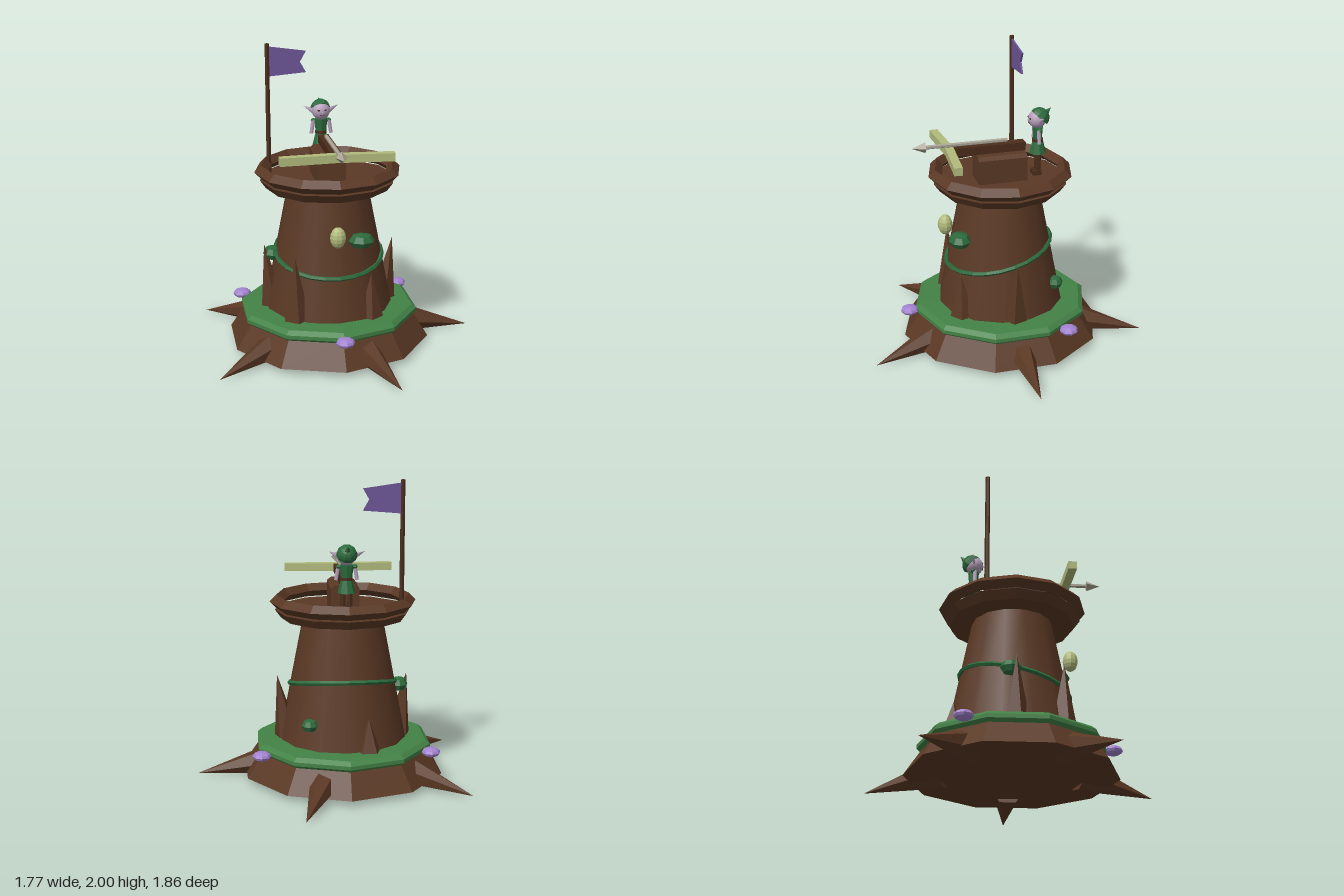
import * as THREE from 'three';

const paint = (name, color, flat = false) => {
  const m = new THREE.MeshStandardMaterial({ color });
  m.name = name;
  m.flatShading = flat;
  return m;
};

export function createModel() {
  const bark = paint('bark', 0x5a3824, true);
  const wood = paint('dark wood', 0x4a2d1b, true);
  const moss = paint('moss green', 0x438246, true);
  const leaf = paint('leaf green', 0x2c6a3c, true);
  const horn = paint('pale horn', 0xb2bb7d, true);
  const steel = paint('dull steel', 0xa9a394, true);
  const skin = paint('lilac skin', 0xb8a2bd);
  const cloth = paint('purple cloth', 0x6d5597);
  const cap = paint('violet cap', 0xa283cf, true);
  cloth.side = THREE.DoubleSide;

  const model = new THREE.Group();
  const tower = new THREE.Group();
  tower.name = 'tower';
  tower.position.x = -0.1;
  model.add(tower);

  const add = (parent, name, geo, mat, x = 0, y = 0, z = 0) => {
    const mesh = new THREE.Mesh(geo, mat);
    mesh.name = name;
    mesh.position.set(x, y, z);
    parent.add(mesh);
    return mesh;
  };
  const V = (x, y, z) => new THREE.Vector3(x, y, z);
  const up = V(0, 1, 0);
  // Cone running from a base point to a tip
  const spike = (parent, name, from, to, r, sides, mat) => {
    const dir = to.clone().sub(from);
    const mesh = add(parent, name, new THREE.ConeGeometry(r, dir.length(), sides), mat);
    mesh.position.copy(from).addScaledVector(dir, 0.5);
    mesh.quaternion.setFromUnitVectors(up, dir.normalize());
    return mesh;
  };
  const blob = (parent, name, mat, pos, scale, w = 8, h = 6) => {
    const mesh = add(parent, name, new THREE.SphereGeometry(1, w, h), mat, ...pos);
    mesh.scale.set(...scale);
    return mesh;
  };
  const polar = (deg, r, y) => {
    const a = THREE.MathUtils.degToRad(deg);
    return V(r * Math.cos(a), y, r * Math.sin(a));
  };

  // Base, moss ring and trunk
  add(tower, 'base', new THREE.CylinderGeometry(0.56, 0.68, 0.18, 10), bark, 0, 0.13, 0);
  const ring = [[0.38, 0.19], [0.57, 0.19], [0.6, 0.215], [0.6, 0.24], [0.57, 0.265], [0.38, 0.27]];
  add(tower, 'mossRing', new THREE.LatheGeometry(ring.map(p => new THREE.Vector2(...p)), 10), moss);
  const trunkBark = bark.clone();
  trunkBark.flatShading = false;
  add(tower, 'trunk', new THREE.CylinderGeometry(0.265, 0.435, 0.87, 14), trunkBark, 0, 0.655, 0);

  // Ground roots
  for (let i = 0; i < 5; i++)
    spike(tower, 'root', polar(72 * i, 0.46, 0.107), polar(72 * i, 0.98, 0.012), 0.107, 6, bark);

  // Upright roots against the trunk: angle, base radius, tip radius, tip height, width
  const uprights = [
    [0, 0.37, 0.44, 0.69, 0.095], [55, 0.39, 0.4, 0.56, 0.1], [131, 0.39, 0.41, 0.7, 0.1],
    [180, 0.37, 0.43, 0.69, 0.095], [250, 0.4, 0.4, 0.48, 0.1],
  ];
  for (const [a, r0, r1, h, w] of uprights)
    spike(tower, 'uprightRoot', polar(a, r0, 0.22), polar(a, r1, h), w, 5, bark);

  // Slanting vine around the trunk
  const vinePath = [];
  for (let i = 0; i < 12; i++) {
    const a = i * 30, y = 0.635 - 0.08 * Math.sin(a * Math.PI / 180);
    vinePath.push(polar(a, 0.435 - (y - 0.22) * 0.195 + 0.002, y));
  }
  add(tower, 'vine', new THREE.TubeGeometry(new THREE.CatmullRomCurve3(vinePath, true), 24, 0.016, 5, true), leaf);

  // Leaf shelves, round lamp and mushrooms
  blob(tower, 'leafShelf', leaf, [0.165, 0.79, 0.32], [0.087, 0.052, 0.075], 8, 4);
  blob(tower, 'leafShelf', leaf, [-0.375, 0.62, -0.03], [0.06, 0.05, 0.07], 8, 4);
  blob(tower, 'leafShelf', leaf, [0.24, 0.43, -0.32], [0.055, 0.045, 0.055], 8, 4);
  blob(tower, 'lamp', horn, [0, 0.84, 0.38], [0.052, 0.07, 0.05], 10, 8);
  for (const a of [90, 210, 330]) {
    const p = polar(a, 0.64, 0.23);
    blob(tower, 'mushroom', cap, [p.x, p.y, p.z], [0.062, 0.032, 0.062], 8, 6);
  }

  // Platform and railing
  add(tower, 'deck', new THREE.CylinderGeometry(0.45, 0.41, 0.055, 12), bark, 0, 1.108, 0);
  add(tower, 'railing', new THREE.TorusGeometry(0.44, 0.045, 4, 12), bark, 0, 1.19, 0).rotation.x = Math.PI / 2;

  // Bolt thrower
  const weapon = new THREE.Group();
  weapon.name = 'boltThrower';
  tower.add(weapon);
  const block = new THREE.Shape();
  [[-0.093, 0], [0.093, 0], [0.093, 0.165], [0.065, 0.187], [-0.065, 0.187], [-0.093, 0.165]]
    .forEach(([x, y], i) => (i ? block.lineTo(x, y) : block.moveTo(x, y)));
  add(weapon, 'mount', new THREE.ExtrudeGeometry(block, { depth: 0.33, bevelEnabled: false }), bark, 0, 1.133, -0.165);
  add(weapon, 'stock', new THREE.BoxGeometry(0.07, 0.055, 0.49), wood, 0, 1.355, 0.077);
  for (const s of [-1, 1])
    add(weapon, 'bowArm', new THREE.BoxGeometry(0.37, 0.053, 0.055), horn, s * 0.182, 1.357, 0.354).rotation.y = -s * 0.07;
  const shaft = add(weapon, 'boltShaft', new THREE.CylinderGeometry(0.014, 0.014, 0.56, 6), steel, 0, 1.4, 0.23);
  shaft.rotation.x = Math.PI / 2;
  spike(weapon, 'boltHead', V(0, 1.4, 0.5), V(0, 1.4, 0.59), 0.038, 4, steel);

  // Pole and flag
  add(tower, 'flagPole', new THREE.CylinderGeometry(0.015, 0.017, 0.87, 6), wood, -0.365, 1.565, -0.185);
  const flag = new THREE.Shape();
  [[0, 0], [0.245, 0.02], [0.205, 0.09], [0.245, 0.16], [0, 0.195]]
    .forEach(([x, y], i) => (i ? flag.lineTo(x, y) : flag.moveTo(x, y)));
  add(tower, 'flag', new THREE.ExtrudeGeometry(flag, { depth: 0.012, bevelEnabled: false }), cloth, -0.355, 1.785, -0.191);

  // Guard standing behind the bolt thrower
  const guard = new THREE.Group();
  guard.name = 'guard';
  guard.position.set(0, 1.135, -0.26);
  tower.add(guard);
  add(guard, 'skirt', new THREE.CylinderGeometry(0.035, 0.058, 0.09, 8), leaf, 0, 0.2, 0);
  add(guard, 'belt', new THREE.CylinderGeometry(0.039, 0.039, 0.018, 8), wood, 0, 0.246, 0);
  add(guard, 'torso', new THREE.CylinderGeometry(0.045, 0.036, 0.085, 8), leaf, 0, 0.293, 0).scale.z = 0.8;
  add(guard, 'neck', new THREE.CylinderGeometry(0.018, 0.018, 0.03, 8), skin, 0, 0.34, 0);
  blob(guard, 'head', skin, [0, 0.392, 0.005], [0.062, 0.062, 0.06], 12, 10);
  // Hood dome tipped back over the head, with its point
  const hood = add(guard, 'hood', new THREE.SphereGeometry(0.068, 10, 5, 0, Math.PI * 2, 0, Math.PI / 2), leaf, 0, 0.4, -0.01);
  hood.rotation.x = -0.75;
  add(hood, 'hoodRim', new THREE.CircleGeometry(0.068, 10), leaf).rotation.x = Math.PI / 2;
  spike(guard, 'hoodTip', V(0, 0.425, -0.05), V(0, 0.462, -0.09), 0.026, 6, leaf);
  spike(guard, 'nose', V(0, 0.39, 0.058), V(0, 0.385, 0.077), 0.009, 5, skin);
  add(guard, 'mouth', new THREE.BoxGeometry(0.028, 0.005, 0.006), wood, 0, 0.371, 0.06);
  for (const s of [-1, 1]) {
    add(guard, 'leg', new THREE.CylinderGeometry(0.018, 0.016, 0.14, 6), wood, s * 0.022, 0.085, 0);
    add(guard, 'boot', new THREE.BoxGeometry(0.032, 0.03, 0.06), wood, s * 0.022, 0.02, 0.01);
    const arm = add(guard, 'arm', new THREE.CylinderGeometry(0.014, 0.013, 0.09, 6), skin, s * 0.06, 0.282, 0.008);
    arm.rotation.z = s * 0.16;
    blob(guard, 'shoulder', leaf, [s * 0.05, 0.325, 0], [0.02, 0.015, 0.02], 6, 4);
    spike(guard, 'ear', V(s * 0.052, 0.392, 0), V(s * 0.117, 0.424, -0.01), 0.02, 5, skin).scale.z = 0.6;
    add(guard, 'eye', new THREE.BoxGeometry(0.014, 0.008, 0.006), wood, s * 0.023, 0.403, 0.059);
  }
  // One shared bark tone keeps its name on the rounded trunk
  trunkBark.name = 'bark';
  return model;
}
